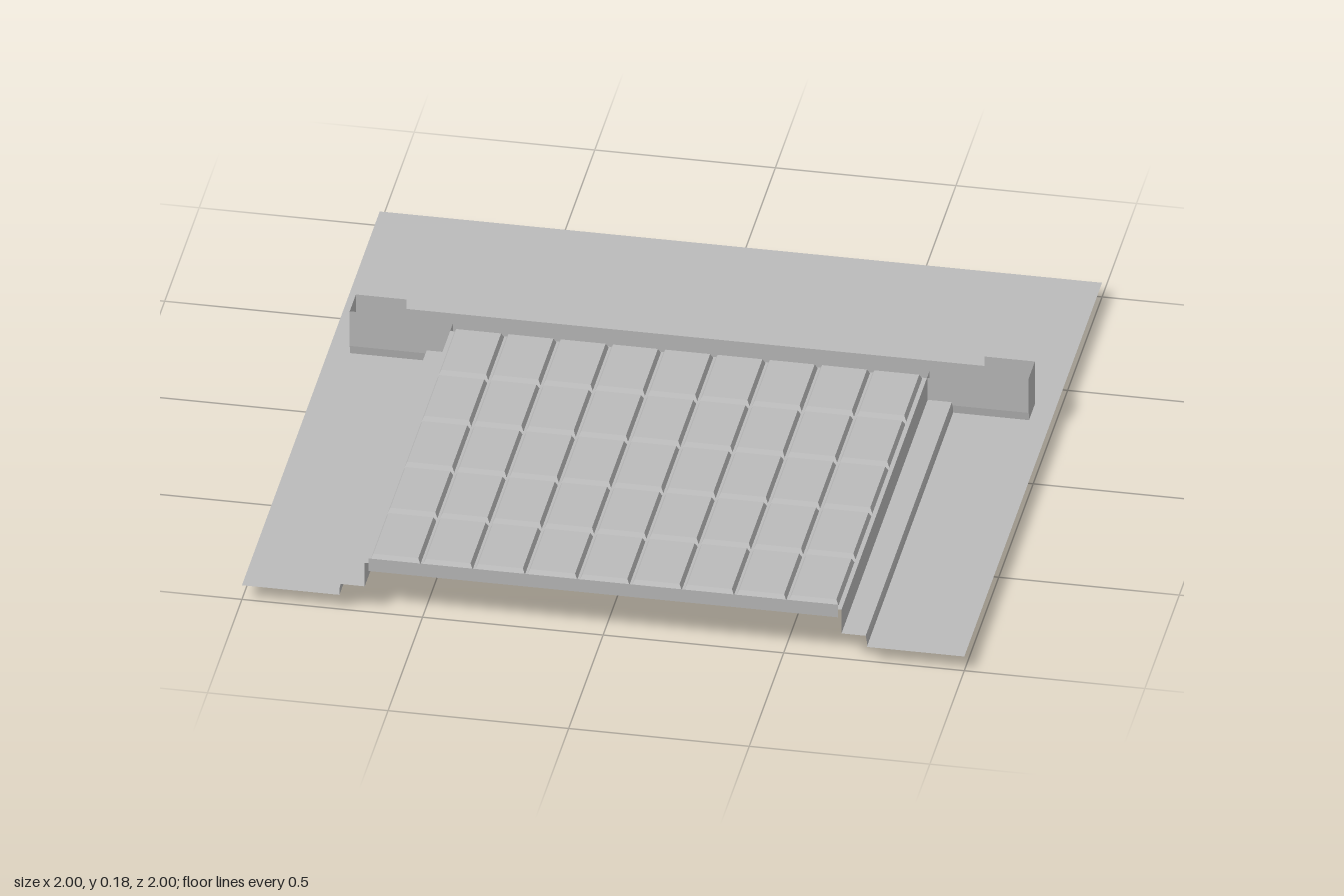
import * as THREE from 'three';

export function createModel() {
  const group = new THREE.Group();
  const grey = new THREE.MeshStandardMaterial({ color: 0xbbbbbb, side: THREE.DoubleSide, flatShading: true });
  grey.name = 'plain grey';

  const add = (name, geometry, x = 0, y = 0, z = 0) => {
    const mesh = new THREE.Mesh(geometry, grey);
    mesh.name = name;
    mesh.position.set(x, y, z);
    group.add(mesh);
    return mesh;
  };
  const shape = (pts) => new THREE.Shape(pts.map(([x, y]) => new THREE.Vector2(x, y)));

  // Sheet swept from point list a to the matching list b
  const sheet = (a, b) => {
    const pos = [], idx = [];
    a.forEach((p, i) => {
      pos.push(...p, ...b[i]);
      if (i) idx.push(2 * i - 2, 2 * i - 1, 2 * i, 2 * i, 2 * i - 1, 2 * i + 1);
    });
    const g = new THREE.BufferGeometry();
    g.setAttribute('position', new THREE.Float32BufferAttribute(pos, 3));
    g.setIndex(idx);
    g.computeVertexNormals();
    return g;
  };

  // Thin ground sheet with the notch for the raised panel
  const base = new THREE.ShapeGeometry(shape([
    [-1, -1], [-0.73, -1], [-0.73, 0.28], [0.73, 0.28], [0.73, -1], [1, -1], [1, 1], [-1, 1],
  ]));
  base.rotateX(-Math.PI / 2);
  add('baseSheet', base, 0, 0.045, 0);

  // Stepped side rails, open underneath
  for (const s of [-1, 1]) {
    const rail = [[0.73, 0.045], [0.73, 0.063], [0.727, 0.08], [0.66, 0.08], [0.66, 0.155]];
    add(s > 0 ? 'leftRail' : 'rightRail', sheet(
      rail.map(([x, y]) => [s * x, y, -0.28]),
      rail.map(([x, y]) => [s * x, y, 1])));
  }

  // Panel sheet and its rim
  const panel = new THREE.PlaneGeometry(1.32, 1.24);
  panel.rotateX(-Math.PI / 2);
  add('panelSheet', panel, 0, 0.155, 0.38);
  add('panelFrontRim', new THREE.PlaneGeometry(1.3, 0.04), 0, 0.15, 1);
  add('panelBackRim', new THREE.PlaneGeometry(1.3, 0.04), 0, 0.15, -0.24);

  // Bevelled tiles, nine columns by five rows
  const tile = new THREE.BoxGeometry(0.138, 0.015, 0.232);
  const p = tile.attributes.position;
  for (let i = 0; i < p.count; i++) {
    if (p.getY(i) > 0) {
      p.setX(i, p.getX(i) - Math.sign(p.getX(i)) * 0.007);
      p.setZ(i, p.getZ(i) - Math.sign(p.getZ(i)) * 0.007);
    }
  }
  tile.computeVertexNormals();
  for (let c = 0; c < 9; c++) {
    for (let r = 0; r < 5; r++) add('tile', tile, (c - 4) * 0.1447, 0.1625, -0.12 + r * 0.246);
  }

  // Cross beam: notched front and back walls
  const wall = (bottom) => new THREE.ShapeGeometry(shape([
    [-0.94, bottom], [0.94, bottom], [0.94, 0.18], [0.8, 0.18],
    [0.8, 0.15], [-0.8, 0.15], [-0.8, 0.18], [-0.94, 0.18],
  ]));
  add('beamFrontWall', wall(0.07), 0, 0, -0.25);
  const back = wall(0.03);
  back.rotateY(Math.PI);
  add('beamBackWall', back, 0, 0, -0.34);

  // Rounded underside of the beam, with a ledge at the back
  const under = [
    [-0.25, 0.07], [-0.255, 0.035], [-0.262, 0.013], [-0.272, 0.002], [-0.283, 0],
    [-0.293, 0.005], [-0.301, 0.016], [-0.305, 0.03], [-0.34, 0.03],
  ];
  add('beamUnderside', sheet(
    under.map(([z, y]) => [-0.94, y, z]),
    under.map(([z, y]) => [0.94, y, z])));

  // Beam end caps
  for (const s of [-1, 1]) {
    const cap = new THREE.ShapeGeometry(shape([
      ...under.map(([z, y]) => [-z, y]), [0.34, 0.18], [0.25, 0.18],
    ]));
    cap.rotateY(Math.PI / 2);
    add(s > 0 ? 'leftBeamCap' : 'rightBeamCap', cap, s * 0.94, 0, 0);
  }
  return group;
}
